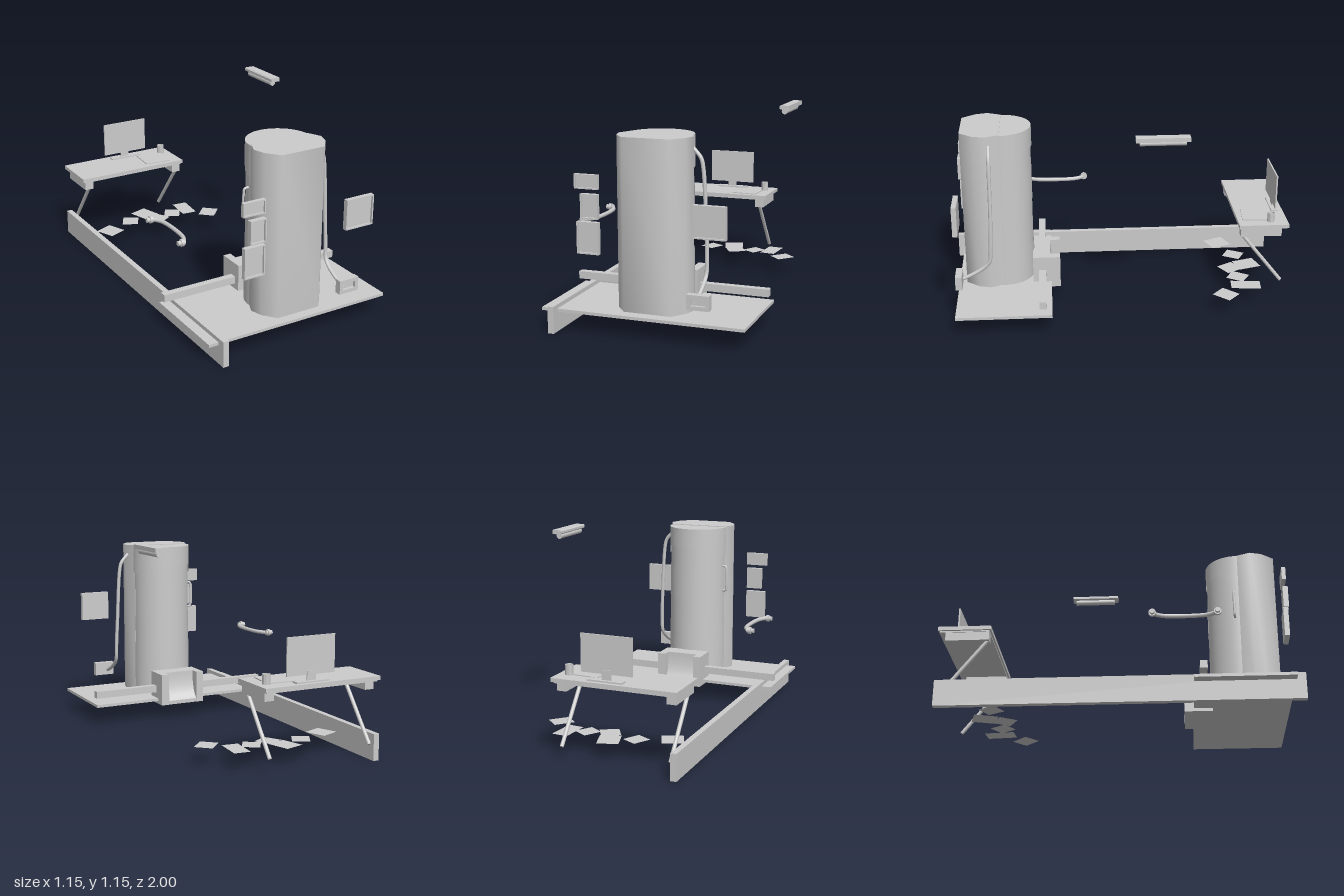
import * as THREE from 'three';
import { toCreasedNormals } from 'three/addons/utils/BufferGeometryUtils.js';

const V = (x, y, z) => new THREE.Vector3(x, y, z);
const mat = new THREE.MeshStandardMaterial({ color: 0xcccccc });
const thin = new THREE.MeshStandardMaterial({ color: 0xcccccc, side: THREE.DoubleSide });

export function createModel() {
  const model = new THREE.Group();
  const add = (name, geo, material = mat) => {
    const m = new THREE.Mesh(geo, material);
    m.name = name;
    model.add(m);
    return m;
  };
  // box given by its min and max on each axis
  const box = (name, x0, x1, y0, y1, z0, z1) =>
    add(name, new THREE.BoxGeometry(x1 - x0, y1 - y0, z1 - z0)
      .translate((x0 + x1) / 2, (y0 + y1) / 2, (z0 + z1) / 2));
  // straight rod between two points
  const rod = (name, a, b, r, sides = 16) => {
    const m = add(name, new THREE.CylinderGeometry(r, r, a.distanceTo(b), sides));
    m.position.copy(a).lerp(b, 0.5);
    m.quaternion.setFromUnitVectors(V(0, 1, 0), b.clone().sub(a).normalize());
    return m;
  };
  const tube = (name, pts, r) =>
    add(name, new THREE.TubeGeometry(new THREE.CatmullRomCurve3(pts, false, 'centripetal'), 48, r, 10));

  // floor platform, long wall plank and cross rail
  box('platform', -0.57, 0.575, 0.11, 0.127, 0.405, 0.95);
  box('sidePlank', -0.512, -0.478, 0, 0.15, -1, 1);
  box('crossRail', -0.575, 0.565, 0.16, 0.203, 0.437, 0.478);

  // rear step block: two cheeks with a scooped middle
  box('stepCheek', -0.12, -0.075, 0.092, 0.285, 0.352, 0.513);
  box('stepCheek', 0.115, 0.165, 0.092, 0.285, 0.352, 0.513);
  const scoop = new THREE.Shape();
  scoop.moveTo(0.513, 0.092);
  scoop.lineTo(0.513, 0.285);
  scoop.lineTo(0.41, 0.285);
  scoop.quadraticCurveTo(0.41, 0.16, 0.354, 0.115);
  scoop.lineTo(0.354, 0.092);
  const scoopGeo = new THREE.ExtrudeGeometry(scoop, { depth: 0.19, bevelEnabled: false, curveSegments: 12 });
  add('stepScoop', toCreasedNormals(scoopGeo.rotateY(-Math.PI / 2).translate(0.115, 0, 0), 0.6));

  // upright chamber: round drum with a faceted housing around its front
  const cx = 0.02, cz = 0.686;
  add('drum', new THREE.CylinderGeometry(0.178, 0.178, 0.935, 64).translate(cx, 0.5975, cz));
  const outline = [[-0.155, 0.68], [-0.19, 0.76], [-0.17, 0.83], [-0.11, 0.905],
    [0.155, 0.905], [0.215, 0.83], [0.235, 0.76], [0.2, 0.68]].map(p => new THREE.Vector2(...p));
  const housing = new THREE.ExtrudeGeometry(new THREE.Shape(outline), { depth: 0.935, bevelEnabled: false });
  add('housing', toCreasedNormals(housing.rotateX(Math.PI / 2).translate(0, 1.07, 0), 0.9));

  // curved panels wrapped on the rear of the drum; angle 0 points to the back
  const ramp = (a, a0, a1, inner, outer) =>
    THREE.MathUtils.lerp(inner, outer, THREE.MathUtils.clamp((Math.abs(a) - a0) / (a1 - a0), 0, 1));
  const panel = (name, r, a0, a1, bottom, top) => {
    const g = new THREE.PlaneGeometry(1, 1, 60, 1), p = g.attributes.position;
    for (let i = 0; i < p.count; i++) {
      const a = a0 + (p.getX(i) + 0.5) * (a1 - a0);
      p.setXYZ(i, cx - r * Math.sin(a), p.getY(i) > 0 ? top(a) : bottom(a), cz - r * Math.cos(a));
    }
    g.computeVertexNormals();
    add(name, g, thin);
  };
  const doorTop = a => ramp(a, 1.05, 1.26, 0.945, 0.89);
  const doorBottom = a => ramp(a, 0.63, 0.97, 0.345, 0.45);
  const H = Math.PI / 2;
  panel('upperShell', 0.184, -H, H, doorTop, () => 1.065);
  panel('lowerShell', 0.181, -H, H, () => 0.13, doorBottom);
  panel('doorWindow', 0.181, -1.26, -0.1, () => 0.62, () => 0.83);
  add('upperShellCap', new THREE.CircleGeometry(0.184, 48).rotateX(-H).translate(cx, 1.066, cz));
  tube('doorHandle', [V(-0.155, 0.82, 0.66), V(-0.178, 0.815, 0.657), V(-0.182, 0.79, 0.656),
    V(-0.182, 0.69, 0.656), V(-0.178, 0.665, 0.657), V(-0.155, 0.66, 0.66)], 0.007);

  // cable from the chamber to the control box
  tube('cable', [V(0.22, 1.01, 0.74), V(0.24, 0.99, 0.74), V(0.268, 0.955, 0.74), V(0.28, 0.9, 0.74),
    V(0.297, 0.6, 0.743), V(0.304, 0.42, 0.75), V(0.303, 0.34, 0.758), V(0.3, 0.3, 0.79),
    V(0.3, 0.235, 0.91), V(0.3, 0.23, 0.94)], 0.011);

  // hanging panels: raised rim around a recessed face
  const rect = (T, x0, x1, y0, y1) => new T([[x0, y0], [x1, y0], [x1, y1], [x0, y1]]
    .map(p => new THREE.Vector2(...p)));
  const framed = (name, x0, x1, y0, y1, z0, z1, rim) => {
    const s = rect(THREE.Shape, x0, x1, y0, y1);
    s.holes.push(rect(THREE.Path, x0 + rim, x1 - rim, y0 + rim, y1 - rim));
    add(name + 'Rim', new THREE.ExtrudeGeometry(s, { depth: z1 - z0, bevelEnabled: false }).translate(0, 0, z0));
    box(name + 'Face', x0 + rim, x1 - rim, y0 + rim, y1 - rim, z0, z0 + (z1 - z0) * 0.55);
  };
  framed('controlBox', 0.26, 0.385, 0.2, 0.281, 0.917, 0.955, 0.022);
  framed('largeScreen', 0.29, 0.47, 0.575, 0.75, 0.917, 0.945, 0.008);
  framed('topPanel', -0.365, -0.23, 0.792, 0.87, 0.923, 0.946, 0.008);
  framed('middlePanel', -0.327, -0.23, 0.635, 0.768, 0.927, 0.957, 0.008);
  framed('bottomPanel', -0.355, -0.23, 0.443, 0.617, 0.92, 0.948, 0.008);

  // grab rail with end mounts
  tube('grabRail', [V(-0.51, 0.53, 0.185), V(-0.485, 0.53, 0.195), V(-0.46, 0.53, 0.235), V(-0.45, 0.53, 0.29),
    V(-0.45, 0.53, 0.42), V(-0.46, 0.53, 0.49), V(-0.485, 0.53, 0.535), V(-0.51, 0.53, 0.545)], 0.012);
  for (const z of [0.185, 0.545]) {
    rod('railMount', V(-0.525, 0.53, z), V(-0.48, 0.53, z), 0.014);
    rod('railFlange', V(-0.507, 0.53, z), V(-0.491, 0.53, z), 0.021);
  }

  // desk with brackets and slanted legs
  box('deskTop', -0.512, 0.2, 0.448, 0.47, -1, -0.705);
  box('deskTopEdge', -0.5, 0.188, 0.44, 0.448, -0.99, -0.715);
  for (const side of [-1, 1]) {
    const x = -0.156 + side * 0.312;
    box('deskBracket', x - 0.028, x + 0.028, 0.392, 0.442, -0.96, -0.717);
    rod('deskLeg', V(x, 0.4, -0.725), V(x, 0.088, -0.972), 0.011);
  }

  // desk items: monitor, mat and cup
  box('monitorBase', -0.2, 0, 0.47, 0.478, -0.975, -0.93);
  box('monitorStand', -0.13, -0.075, 0.475, 0.53, -0.955, -0.948);
  box('monitor', -0.248, 0.046, 0.508, 0.715, -0.95, -0.941);
  const deskMat = add('deskMat', new THREE.BoxGeometry(0.165, 0.005, 0.17));
  deskMat.position.set(0.045, 0.4725, -0.825);
  deskMat.rotation.y = -0.08;
  const cup = [[0, 0.006], [0.018, 0.006], [0.018, 0.055], [0.022, 0.055], [0.022, 0], [0, 0]];
  add('cup', toCreasedNormals(new THREE.LatheGeometry(cup.map(p => new THREE.Vector2(...p)), 24), 0.6), thin)
    .position.set(0.14, 0.47, -0.9);

  // loose sheets below the desk: x, z, width, depth, turn
  for (const [x, z, w, d, turn] of [[-0.355, -0.665, 0.12, 0.13, 0.4], [-0.175, -0.74, 0.1, 0.11, -0.5],
    [-0.04, -0.8, 0.12, 0.14, 0.3], [0.005, -0.69, 0.11, 0.11, 0.53], [0.125, -0.72, 0.1, 0.11, -0.55],
    [0.235, -0.75, 0.095, 0.175, -0.09], [0.345, -0.615, 0.105, 0.12, -0.75]]) {
    const sheet = add('sheet', new THREE.PlaneGeometry(w, d).rotateX(-H), thin);
    sheet.position.set(x, 0.1, z);
    sheet.rotation.y = turn;
  }

  // floating lamp
  const lamp = rect(THREE.Shape, 0.47, 0.52, 1.122, 1.146);
  lamp.curves.length = 0;
  lamp.moveTo(0.47, 1.122).lineTo(0.52, 1.122).lineTo(0.52, 1.146).lineTo(0.468, 1.146)
    .lineTo(0.462, 1.14).lineTo(0.462, 1.128);
  add('lampHousing', new THREE.ExtrudeGeometry(lamp, { depth: 0.295, bevelEnabled: false }).translate(0, 0, -0.358));
  rod('lampTube', V(0.487, 1.11, -0.337), V(0.487, 1.11, -0.085), 0.017, 20);

  return model;
}
